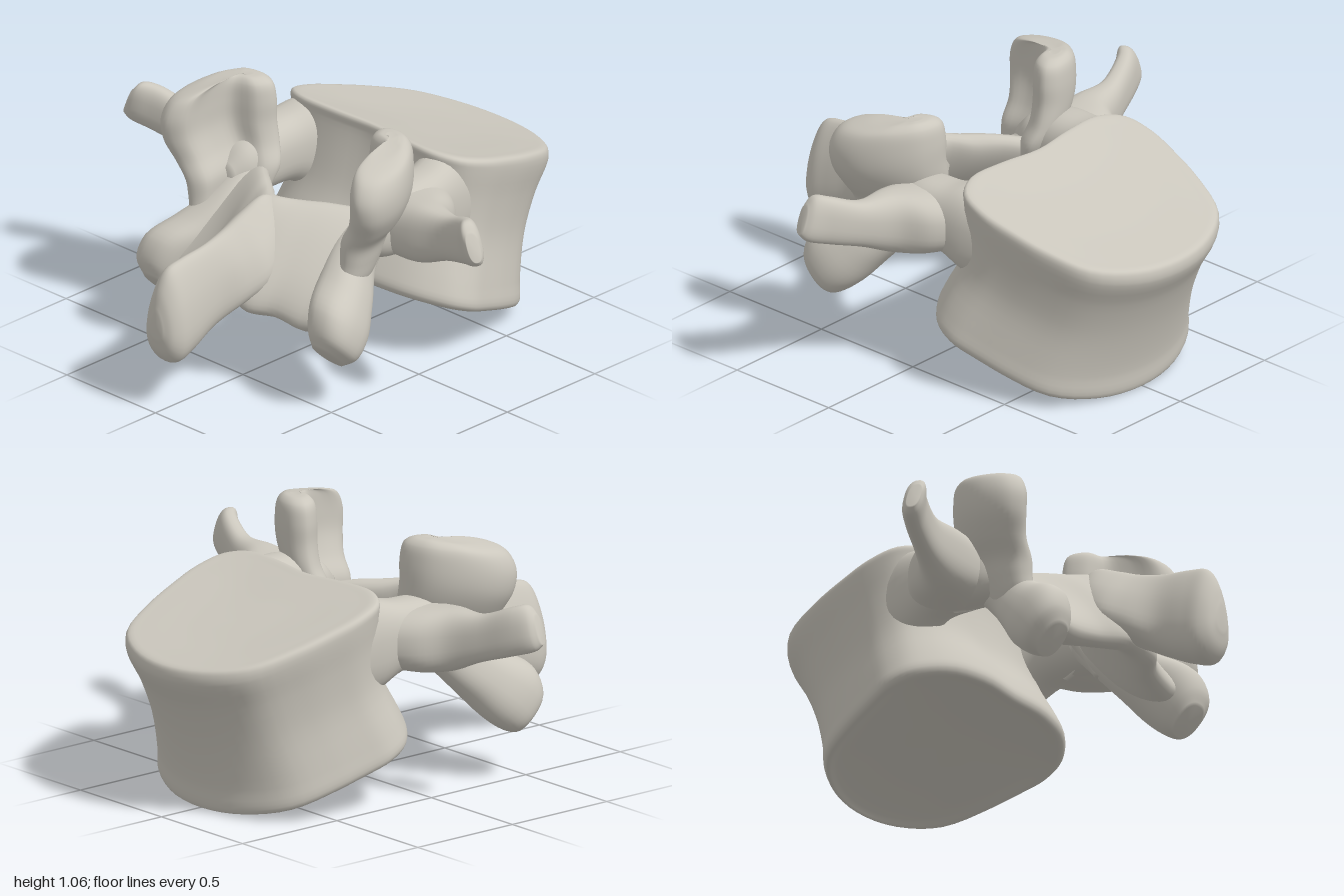
import * as THREE from 'three';

const V = (x, y, z) => new THREE.Vector3(x, y, z);
const bone = new THREE.MeshStandardMaterial({ color: 0xcbc7bd });
bone.name = 'bone';

// Smooth closed skin through a list of rings with equal point counts
function loft(name, rings, steps = 5) {
  const n = rings[0].length;
  const rows = (rings.length - 1) * steps;
  const lines = rings[0].map((_, j) =>
    new THREE.CatmullRomCurve3(rings.map((r) => r[j])).getPoints(rows));
  const pos = [];
  for (let i = 0; i <= rows; i++) for (let j = 0; j < n; j++) pos.push(...lines[j][i].toArray());
  const tris = [];
  for (let i = 0; i < rows; i++) {
    for (let j = 0; j < n; j++) {
      const a = i * n + j, b = i * n + (j + 1) % n;
      tris.push([a, b, b + n], [a, b + n, a + n]);
    }
  }
  // End caps around each ring's middle
  [0, rows].forEach((row, e) => {
    const mid = V(0, 0, 0);
    lines.forEach((l) => mid.addScaledVector(l[row], 1 / n));
    const m = pos.length / 3;
    pos.push(...mid.toArray());
    for (let j = 0; j < n; j++) {
      const a = row * n + j, b = row * n + (j + 1) % n;
      tris.push(e ? [a, b, m] : [b, a, m]);
    }
  });
  // Turn the skin outward if its volume is negative
  const at = (i) => V(pos[i * 3], pos[i * 3 + 1], pos[i * 3 + 2]);
  let volume = 0;
  for (const [a, b, c] of tris) volume += at(a).dot(at(b).cross(at(c)));
  if (volume < 0) tris.forEach((t) => t.reverse());

  const geo = new THREE.BufferGeometry();
  geo.setAttribute('position', new THREE.Float32BufferAttribute(pos, 3));
  geo.setIndex(tris.flat());
  geo.computeVertexNormals();
  const mesh = new THREE.Mesh(geo, bone);
  mesh.name = name;
  return mesh;
}

// Superellipse ring: centre c, half axes u and v, taper narrows the +u end
function oval(c, u, v, power = 2.4, taper = 0, count = 36) {
  const soft = (t) => Math.sign(t) * Math.abs(t) ** (2 / power);
  return Array.from({ length: count }, (_, j) => {
    const a = (j / count) * Math.PI * 2;
    const p = soft(Math.cos(a)), q = soft(Math.sin(a)) * (1 - taper * Math.cos(a));
    return V(c[0] + u[0] * p + v[0] * q, c[1] + u[1] * p + v[1] * q, c[2] + u[2] * p + v[2] * q);
  });
}

// Even points on a closed smooth outline given as [x, z] pairs
const outline = (pts, count) =>
  new THREE.CatmullRomCurve3(pts.map(([x, z]) => V(x, 0, z)), true).getPoints(count).slice(0, -1);

function vertebralBody() {
  const half = [[0.2, 0.4], [0.38, 0.4], [0.48, 0.34], [0.51, 0.22], [0.495, 0.08],
    [0.46, -0.08], [0.38, -0.26], [0.21, -0.365]];
  const shape = outline([[0, 0.38], ...half, [0, -0.4],
    ...half.map(([x, z]) => [-x, z]).reverse()], 72);
  // Width scale, depth scale, middle y, middle z, slope, rounding of the rear corners
  const levels = [
    [0.05, 0.05, 0.185, -0.41, 0.37, 1.2], [0.5, 0.5, 0.178, -0.41, 0.37, 1.2],
    [0.9, 0.9, 0.158, -0.41, 0.38, 1.2], [1.05, 0.98, 0.148, -0.4, 0.38, 1.2],
    [1.09, 1.01, 0.175, -0.4, 0.38, 1.2], [1.06, 0.98, 0.25, -0.42, 0.37, 1.1],
    [0.97, 0.92, 0.42, -0.495, 0.35, 0.7], [0.97, 0.94, 0.58, -0.555, 0.33, 0.3],
    [1, 0.995, 0.7, -0.6, 0.32, 0], [1, 1, 0.742, -0.6, 0.31, 0], [0.975, 0.975, 0.757, -0.6, 0.31, 0],
    [0.85, 0.85, 0.757, -0.6, 0.31, 0], [0.45, 0.45, 0.747, -0.6, 0.31, 0], [0.05, 0.05, 0.744, -0.6, 0.31, 0],
  ];
  return loft('vertebralBody', levels.map(([sx, sz, y, z, slope, round]) => shape.map((p) => {
    const depth = p.z * sz * (p.z > 0 ? 1 - round * p.x * p.x : 1);
    return V(p.x * sx, y + depth * slope, z + depth);
  })), 4);
}

function lamina() {
  // x, y, z, half slant (y, z), half thickness (y, z)
  const half = [
    [0, 0.55, 0.44, 0.19, -0.12, 0.03, 0.07],
    [0.1, 0.53, 0.41, 0.19, -0.17, 0.05, 0.07],
    [0.2, 0.52, 0.34, 0.19, -0.18, 0.05, 0.065],
    [0.33, 0.49, 0.28, 0.18, -0.22, 0.06, 0.065],
    [0.4, 0.47, 0.3, 0.14, -0.18, 0.05, 0.05],
    [0.43, 0.45, 0.32, 0.07, -0.09, 0.025, 0.025],
  ];
  const all = [...half.slice(1).reverse().map(([x, ...r]) => [-x, ...r]), ...half];
  return loft('lamina', all.map(([x, y, z, uy, uz, vy, vz]) =>
    oval([x, y, z], [0, uy, uz], [0, vy, vz])));
}

function spinousProcess() {
  // z, lowest y, highest y, half width, narrowing towards the ridge
  const cuts = [[0.3, 0.56, 0.72, 0.04, 0.4], [0.38, 0.49, 0.76, 0.1, 0.6],
    [0.5, 0.41, 0.72, 0.14, 0.6], [0.6, 0.36, 0.68, 0.12, 0.55], [0.72, 0.29, 0.65, 0.08, 0.4],
    [0.85, 0.225, 0.635, 0.088, 0.4], [0.93, 0.205, 0.615, 0.092, 0.4],
    [0.975, 0.25, 0.54, 0.07, 0.4], [0.997, 0.33, 0.44, 0.03, 0.4]];
  return loft('spinousProcess', cuts.map(([z, lo, hi, w, taper]) =>
    oval([0, (lo + hi) / 2, z], [0, (hi - lo) / 2, 0], [w, 0, 0], 2.2, taper)));
}

function pedicle(s) {
  // x, y, z, half height, half width
  const cuts = [[0.35, 0.62, -0.5, 0.1, 0.08], [0.37, 0.655, -0.26, 0.195, 0.13],
    [0.395, 0.68, -0.12, 0.15, 0.122], [0.4, 0.68, 0.02, 0.14, 0.125],
    [0.39, 0.66, 0.14, 0.12, 0.1], [0.39, 0.64, 0.22, 0.06, 0.05]];
  return loft('pedicle', cuts.map(([x, y, z, h, w]) => oval([s * x, y, z], [0, h, 0], [w, 0, 0])));
}

function transverseProcess(s) {
  // x, y, z, lean in x, half height, half thickness
  const cuts = [[0.38, 0.67, -0.05, 0, 0.13, 0.18], [0.5, 0.67, 0, 0, 0.135, 0.15],
    [0.6, 0.68, 0.045, 0, 0.13, 0.095], [0.74, 0.71, 0.065, 0, 0.1, 0.052],
    [0.88, 0.76, 0.11, -0.01, 0.1, 0.043], [0.95, 0.782, 0.15, -0.03, 0.088, 0.04],
    [0.977, 0.777, 0.168, -0.022, 0.055, 0.025]];
  return loft('transverseProcess', cuts.map(([x, y, z, lean, h, t]) =>
    oval([s * x, y, z], [s * lean, h, 0], [-s * t * 0.4, 0, t], 2.5)));
}

function superiorArticularProcess(s) {
  // Curved plate whose hollow face looks inward and back, flaring down into the lamina
  const shape = outline([[0.29, 0.02], [0.34, -0.02], [0.46, 0], [0.56, 0.1], [0.615, 0.24],
    [0.6, 0.36], [0.54, 0.4], [0.47, 0.36], [0.455, 0.24], [0.42, 0.14], [0.32, 0.1]], 48);
  // Height, scale about the plate's root, inward shift, shift to the back
  const levels = [[0.46, 0.4, 0.07, 0.12], [0.54, 0.6, 0.07, 0.09], [0.62, 0.72, 0.075, 0.05],
    [0.7, 0.82, 0.075, 0.02], [0.78, 0.9, 0.035, 0], [0.87, 0.98, 0.005, 0], [0.96, 1, 0, 0],
    [1.03, 0.88, 0, 0], [1.055, 0.6, 0, 0], [1.06, 0.25, 0, 0]];
  return loft('superiorArticularProcess', levels.map(([y, k, inward, back]) => shape.map((p) => V(
    s * (0.42 - inward + (p.x - 0.42) * k),
    y - k * (0.14 * Math.max(0, p.z - 0.12) + 0.2 * Math.max(0, p.x - 0.48)),
    0.07 + back + (p.z - 0.07) * k))));
}

function inferiorArticularProcess(s) {
  // x, y, z, half width, half depth across the slant
  const cuts = [[0.35, 0.66, 0.08, 0.08, 0.08], [0.345, 0.56, 0.2, 0.085, 0.1],
    [0.405, 0.45, 0.32, 0.115, 0.12], [0.465, 0.36, 0.425, 0.118, 0.145],
    [0.485, 0.285, 0.48, 0.1, 0.118], [0.475, 0.238, 0.498, 0.06, 0.075]];
  return loft('inferiorArticularProcess', cuts.map(([x, y, z, w, d]) =>
    oval([s * x, y, z], [w, 0, 0], [0, d * 0.7, d * 0.7], 2.4)));
}

export function createModel() {
  const model = new THREE.Group();
  model.name = 'vertebra';
  model.add(vertebralBody(), lamina(), spinousProcess());
  for (const s of [1, -1]) {
    const side = new THREE.Group();
    side.name = s > 0 ? 'leftProcesses' : 'rightProcesses';
    side.add(pedicle(s), transverseProcess(s), superiorArticularProcess(s), inferiorArticularProcess(s));
    model.add(side);
  }
  return model;
}
